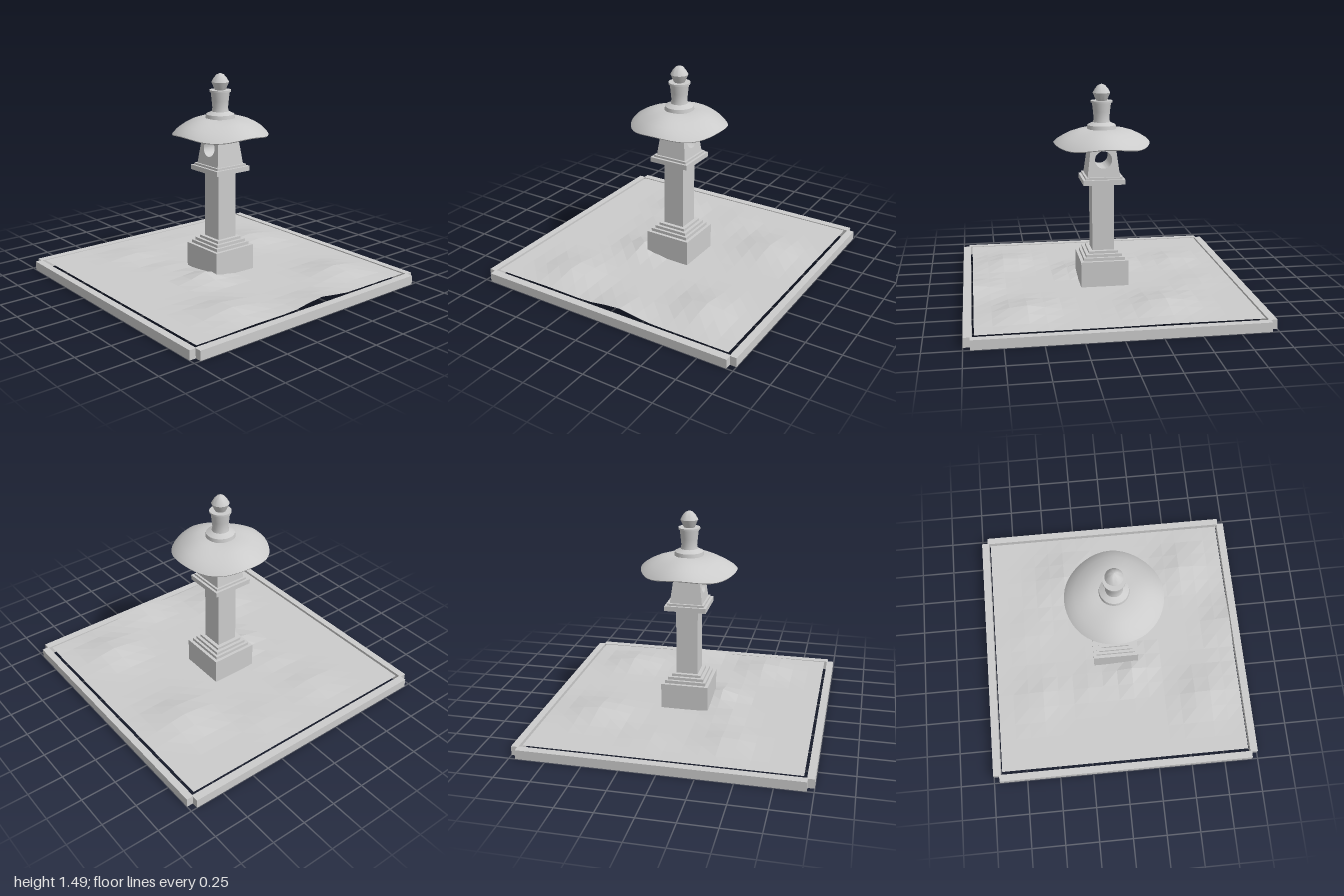
import * as THREE from 'three';
import { toCreasedNormals } from 'three/addons/utils/BufferGeometryUtils.js';

const stone = new THREE.MeshStandardMaterial({ color: 0xcccccc });
const stoneTwoSided = new THREE.MeshStandardMaterial({ color: 0xcccccc, side: THREE.DoubleSide });
const groundMaterial = new THREE.MeshStandardMaterial({ color: 0xcccccc, side: THREE.DoubleSide, flatShading: true });

function add(parent, name, geometry, material = stone) {
  const mesh = new THREE.Mesh(geometry, material);
  mesh.name = name;
  parent.add(mesh);
  return mesh;
}

// Box given by its half widths, bottom and top
function slab(parent, name, hx, hz, y0, y1, x = 0, z = 0) {
  const mesh = add(parent, name, new THREE.BoxGeometry(hx * 2, y1 - y0, hz * 2));
  mesh.position.set(x, (y0 + y1) / 2, z);
  return mesh;
}

// Gently mounded sand bed
function groundGeometry() {
  const mounds = [ // x, z, height, radius
    [-0.33, -0.58, 0.045, 0.2], [0.6, -0.58, 0.045, 0.18], [0.12, 0.23, 0.052, 0.13],
    [0.66, 0.47, 0.042, 0.18], [-0.6, 0.38, 0.026, 0.16], [0.93, -0.1, 0.034, 0.16],
    [-0.2, 0.32, 0.018, 0.13], [-0.65, -0.15, 0.012, 0.15],
  ];
  const g = new THREE.PlaneGeometry(1.86, 1.86, 16, 16).rotateX(-Math.PI / 2);
  const p = g.attributes.position;
  for (let i = 0; i < p.count; i++) {
    let y = 0.066;
    for (const [x, z, h, r] of mounds) {
      const d = Math.hypot(p.getX(i) - x, p.getZ(i) - z) / r;
      y += h * Math.exp(-d * d);
    }
    p.setY(i, y);
  }
  return g;
}

// Tapered lamp chamber with a round window from front to back
function chamberGeometry() {
  const y0 = 0.85, y1 = 1.1, w0 = 0.115, w1 = 0.083;
  const shape = new THREE.Shape([[-w0, y0], [w0, y0], [w1, y1], [-w1, y1]].map(([x, y]) => new THREE.Vector2(x, y)));
  shape.holes.push(new THREE.Path().absarc(0, 0.97, 0.06, 0, Math.PI * 2, true));
  const g = new THREE.ExtrudeGeometry(shape, { depth: 2, bevelEnabled: false, curveSegments: 24 });
  g.translate(0, 0, -1);
  const p = g.attributes.position;
  for (let i = 0; i < p.count; i++) {
    const t = (p.getY(i) - y0) / (y1 - y0);
    p.setZ(i, p.getZ(i) * (w0 + (w1 - w0) * t));
  }
  return toCreasedNormals(g, 0.6);
}

// Round roof whose eaves dip on the four diagonals
function roofGeometry() {
  const profile = [[0, 1.08], [0.1, 1.08], [0.22, 1.083], [0.335, 1.078], [0.34, 1.085], [0.315, 1.11],
    [0.27, 1.137], [0.22, 1.16], [0.16, 1.178], [0.1, 1.18], [0, 1.18]];
  const g = new THREE.LatheGeometry(profile.map(([r, y]) => new THREE.Vector2(r, y)), 48);
  const p = g.attributes.position;
  for (let i = 0; i < p.count; i++) {
    const x = p.getX(i), z = p.getZ(i);
    const r = Math.hypot(x, z) / 0.34;
    const dip = (1 - Math.cos(4 * Math.atan2(z, x))) / 2;
    p.setY(i, p.getY(i) - 0.024 * dip * r * r);
  }
  return toCreasedNormals(g, 0.9);
}

function turned(points) {
  const g = new THREE.LatheGeometry(points.map(([r, y]) => new THREE.Vector2(r, y)), 32);
  return toCreasedNormals(g, 0.6);
}

export function createModel() {
  const model = new THREE.Group();
  model.name = 'stoneLanternGarden';

  // Border rails around the bed
  const border = new THREE.Group();
  border.name = 'border';
  model.add(border);
  for (const s of [-1, 1]) {
    slab(border, s > 0 ? 'frontRail' : 'backRail', 0.955, 0.025, 0, 0.065, 0, s * 0.975);
    slab(border, s > 0 ? 'leftRail' : 'rightRail', 0.028, 0.955, 0, 0.065, s * 0.972, 0);
  }

  add(model, 'ground', groundGeometry(), groundMaterial);

  // Lantern: stepped pedestal, post and platform
  const lantern = new THREE.Group();
  lantern.name = 'lantern';
  model.add(lantern);
  const blocks = [
    ['pedestal', 0.17, 0.06, 0.25], ['lowerStep', 0.147, 0.25, 0.272], ['middleStep', 0.128, 0.272, 0.292],
    ['upperStep', 0.105, 0.292, 0.31], ['post', 0.078, 0.31, 0.8],
    ['platform', 0.148, 0.8, 0.835], ['platformStep', 0.13, 0.835, 0.85],
  ];
  for (const [name, half, y0, y1] of blocks) slab(lantern, name, half, half, y0, y1);

  add(lantern, 'lampChamber', chamberGeometry());
  add(lantern, 'roof', roofGeometry(), stoneTwoSided);

  // Collar, neck and finial on the roof
  add(lantern, 'neck', turned([[0.105, 1.17], [0.1, 1.205], [0.06, 1.225], [0.055, 1.25], [0.06, 1.3],
    [0.067, 1.362], [0.076, 1.362], [0.076, 1.375], [0, 1.375]]));
  add(lantern, 'finial', turned([[0.035, 1.372], [0.045, 1.39], [0.062, 1.43], [0.045, 1.46], [0.025, 1.482],
    [0, 1.492]]));

  return model;
}
